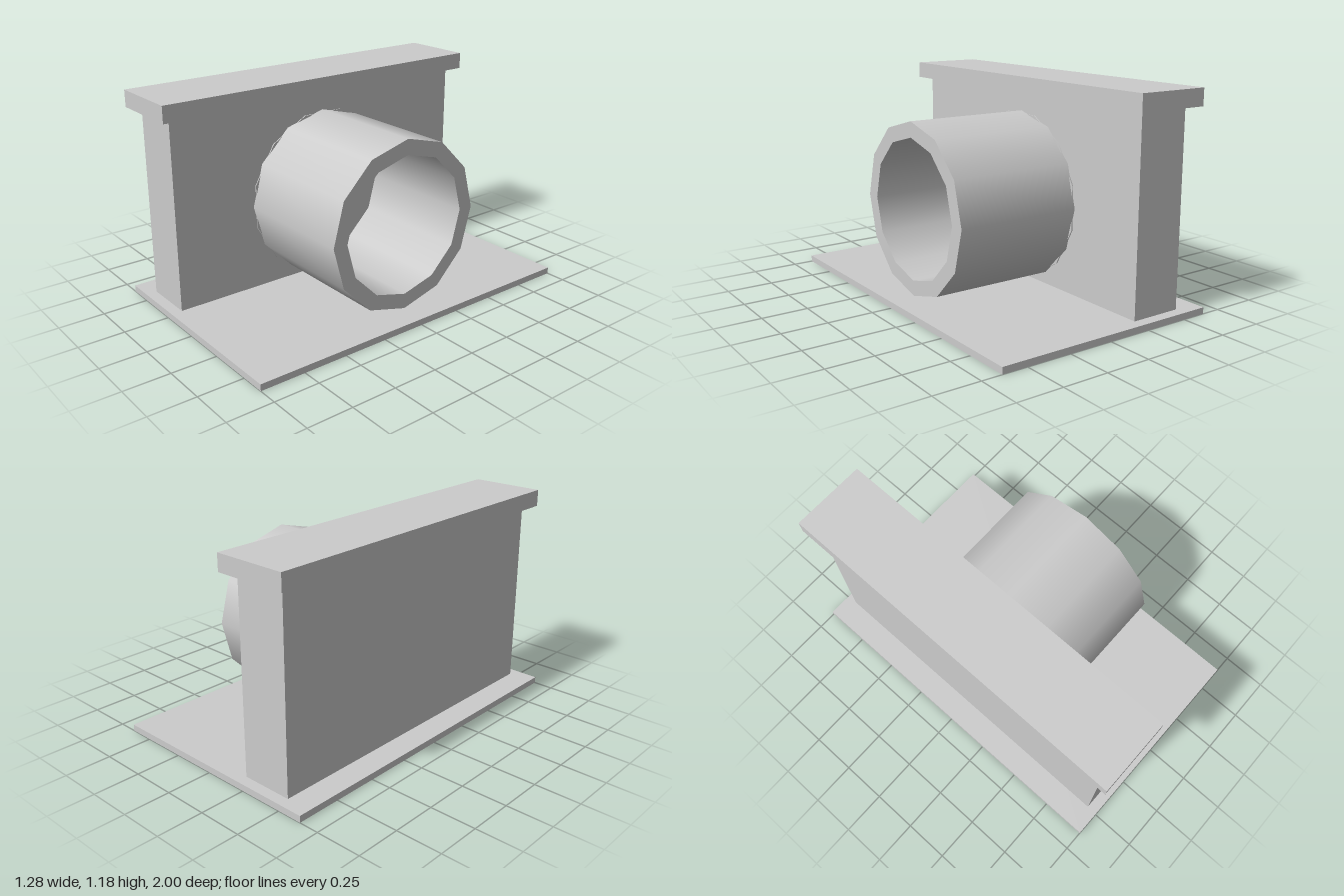
import * as THREE from 'three';

const grey = new THREE.MeshStandardMaterial({ color: 0xcccccc, side: THREE.DoubleSide });
grey.name = 'concrete grey';

const SIDES = 12;
const AXIS_Y = 0.51;

function add(parent, name, geometry) {
  const mesh = new THREE.Mesh(geometry, grey);
  mesh.name = name;
  parent.add(mesh);
  return mesh;
}

// Box given by its limits, left open at the bottom
function openBox(x0, x1, y0, y1, halfDepth) {
  const g = new THREE.BoxGeometry(x1 - x0, y1 - y0, halfDepth * 2);
  g.translate((x0 + x1) / 2, (y0 + y1) / 2, 0);
  const index = Array.from(g.index.array);
  index.splice(18, 6); // bottom face
  g.setIndex(index);
  g.clearGroups();
  return g;
}

// Open cylinder wall lying along x
function barrel(radius, x0, x1, turn = 0) {
  const g = new THREE.CylinderGeometry(radius, radius, x1 - x0, SIDES, 1, true, turn);
  g.rotateZ(-Math.PI / 2);
  g.translate((x0 + x1) / 2, AXIS_Y, 0);
  return g;
}

export function createModel() {
  const model = new THREE.Group();
  model.name = 'culvertHeadwall';

  // Slab, upright wall and coping
  add(model, 'basePlate', openBox(-0.64, 0.64, 0, 0.036, 1));
  add(model, 'wall', openBox(-0.5, -0.21, 0, 1.085, 0.94));
  add(model, 'coping', openBox(-0.56, -0.15, 1.085, 1.177, 1));

  // Hollow pipe
  const pipe = new THREE.Group();
  pipe.name = 'pipe';
  model.add(pipe);
  const outer = 0.47, inner = 0.385, x0 = -0.21, x1 = 0.5;
  add(pipe, 'pipeOuter', barrel(outer, x0, x1));

  // Bore, with normals facing the axis
  const bore = barrel(inner, x0, x1);
  const index = bore.index.array;
  for (let i = 0; i < index.length; i += 3) {
    [index[i], index[i + 1]] = [index[i + 1], index[i]];
  }
  const n = bore.attributes.normal;
  for (let i = 0; i < n.count; i++) n.setXYZ(i, -n.getX(i), -n.getY(i), -n.getZ(i));
  add(pipe, 'pipeBore', bore);

  const rim = new THREE.RingGeometry(inner, outer, SIDES);
  rim.rotateY(Math.PI / 2);
  rim.translate(x1, AXIS_Y, 0);
  add(pipe, 'pipeRim', rim);

  // Thin disc where the pipe meets the wall, turned by half a side
  const disc = new THREE.CylinderGeometry(outer, outer, 0.006, SIDES, 1, false, Math.PI / SIDES);
  disc.rotateZ(-Math.PI / 2);
  disc.translate(x0 + 0.003, AXIS_Y, 0);
  add(pipe, 'pipeSeat', disc);

  return model;
}
